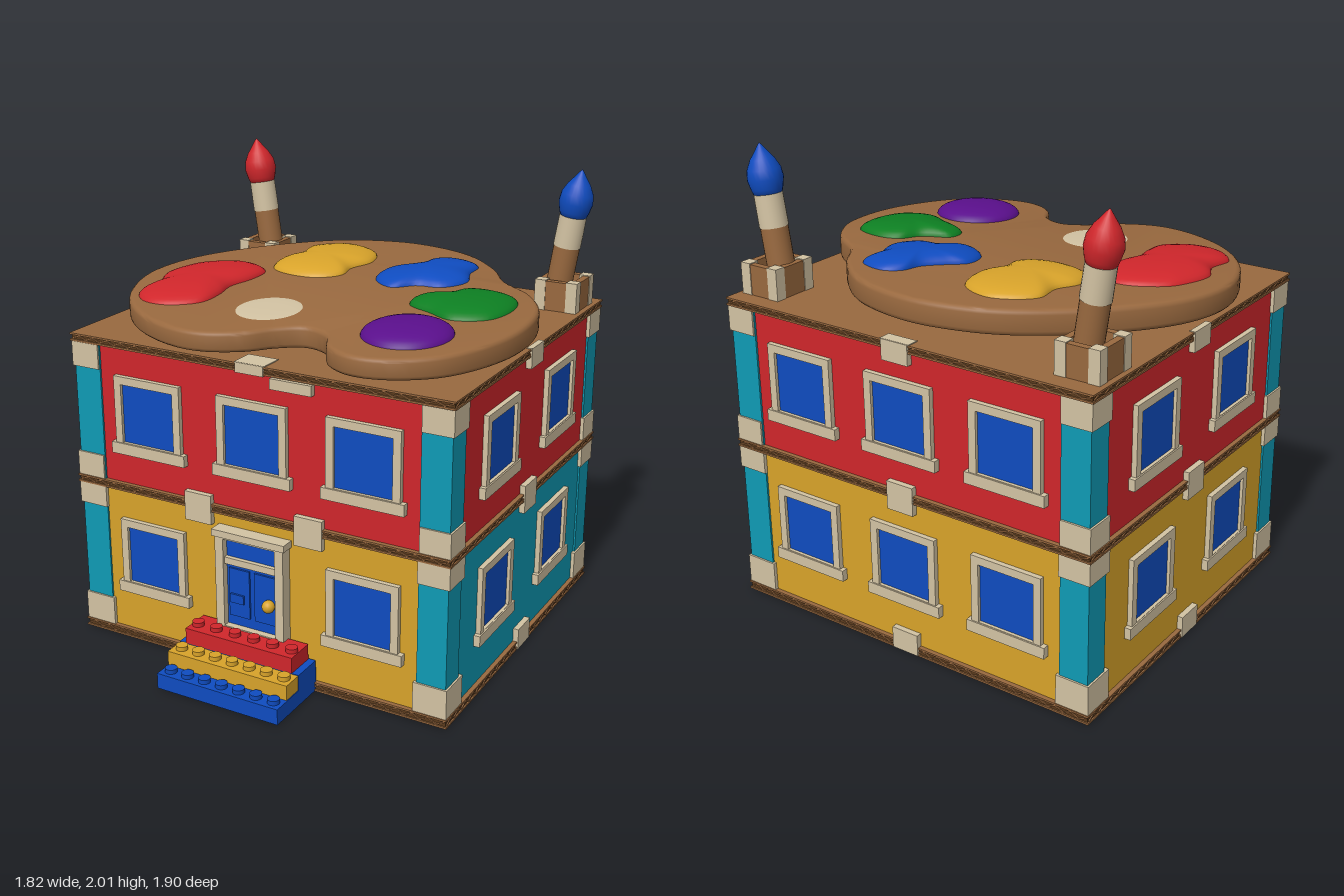
import * as THREE from 'three';
import { toCreasedNormals } from 'three/addons/utils/BufferGeometryUtils.js';

const paint = (name, color) => { const m = new THREE.MeshStandardMaterial({ color }); m.name = name; return m; };
const RED = paint('red', 0xd0262b), BLUE = paint('blue', 0x0f4cc0), YELLOW = paint('yellow', 0xd8a32a),
  TEAL = paint('teal', 0x0f9bb5), CREAM = paint('cream', 0xd3c3a3), CARD = paint('cardboard', 0x99693f),
  DARK = paint('dark cardboard', 0x5a3a1c), GREEN = paint('green', 0x0d7f22), PURPLE = paint('purple', 0x5a0f8c),
  SLATE = paint('grey green', 0x6a8f86);

// House footprint
const HX = 0.895, HZ = 0.798, CZ = -0.148, INSET = 0.02;

function add(parent, name, geo, mat, x = 0, y = 0, z = 0) {
  const m = new THREE.Mesh(geo, mat);
  m.name = name;
  m.position.set(x, y, z);
  parent.add(m);
  return m;
}
const box = (parent, name, mat, w, h, d, x, y, z) => add(parent, name, new THREE.BoxGeometry(w, h, d), mat, x, y, z);
function group(parent, name, x = 0, y = 0, z = 0) {
  const g = new THREE.Group();
  g.name = name;
  g.position.set(x, y, z);
  parent.add(g);
  return g;
}

// Rectangular ring, extruded along +z
function ring(w, h, iw, ih, depth) {
  const rect = (s, a, b) => s.moveTo(-a / 2, -b / 2).lineTo(a / 2, -b / 2).lineTo(a / 2, b / 2).lineTo(-a / 2, b / 2).closePath();
  const s = rect(new THREE.Shape(), w, h);
  s.holes.push(rect(new THREE.Path(), iw, ih));
  return new THREE.ExtrudeGeometry(s, { depth, bevelEnabled: false });
}

// Group on one side of the house whose z = 0 lies on the wall and +z points outward
function sideGroup(root, name, k) {
  const g = group(root, name, [0, HX - INSET, 0, INSET - HX][k], 0, CZ + [HZ - INSET, 0, INSET - HZ, 0][k]);
  g.rotation.y = k * Math.PI / 2;
  return g;
}

function windowUnit(parent, x, y) {
  const g = group(parent, 'window', x, y, 0);
  add(g, 'windowFrame', ring(0.33, 0.33, 0.26, 0.26, 0.022), CREAM);
  box(g, 'windowPane', BLUE, 0.27, 0.27, 0.008, 0, 0, 0.004);
  box(g, 'windowSill', CREAM, 0.37, 0.05, 0.03, 0, -0.157, 0.013);
}

// Zigzag flutes seen along the edge of a cardboard sheet
function flutes(length, h) {
  const n = Math.round(length / 0.036), top = [], low = [];
  for (let i = 0; i <= n; i++) {
    const x = (i / n - 0.5) * length, y = (i % 2 ? 0.5 : -0.5) * (h - 0.006);
    top.push(new THREE.Vector2(x, y + 0.003));
    low.unshift(new THREE.Vector2(x, y - 0.003));
  }
  return new THREE.ExtrudeGeometry(new THREE.Shape([...top, ...low]), { depth: 0.005, bevelEnabled: false });
}

function slab(root, sides, y0, h) {
  const skin = 0.008, y = y0 + h / 2;
  box(root, 'slabCore', DARK, 2 * HX - 0.012, h - 0.004, 2 * HZ - 0.012, 0, y, CZ);
  for (const s of [-1, 1]) box(root, 'slabSkin', CARD, 2 * HX, skin, 2 * HZ, 0, y + s * (h - skin) / 2, CZ);
  sides.forEach((g, k) => add(g, 'slabFlutes', flutes(k % 2 ? 1.57 : 1.77, h - 2 * skin), CARD, 0, y, INSET - 0.006));
}

const closed = (pts, n) => new THREE.CatmullRomCurve3(pts.map(([x, z]) => new THREE.Vector3(x, 0, z)), true).getPoints(n).slice(0, n);
const topY = z => 1.485 + (0.66 - z) * 0.045;      // upper surface of the tilted palette
const bottomY = z => 1.40 + 0.05 * ((0.66 - z) / 1.55) ** 2;

// Domed puddle of paint lofted from shrinking outlines
function puddle(pts, height, n = 64, rows = 8) {
  const edge = closed(pts, n), pos = [], idx = [];
  const c = edge.reduce((a, p) => a.add(p), new THREE.Vector3()).divideScalar(n);
  for (let k = 0; k <= rows; k++) {
    const a = k / rows * Math.PI / 2, s = Math.cos(a) ** 0.8;
    for (const p of edge) {
      const x = c.x + (p.x - c.x) * s, z = c.z + (p.z - c.z) * s;
      pos.push(x, topY(z) - 0.004 + height * Math.sin(a), z);
    }
  }
  for (let k = 0; k < rows; k++) for (let i = 0; i < n; i++) {
    const j = (i + 1) % n, a = k * n + i, b = k * n + j;
    idx.push(b, a, a + n, b, a + n, b + n);
  }
  const g = new THREE.BufferGeometry();
  g.setAttribute('position', new THREE.Float32BufferAttribute(pos, 3));
  g.setIndex(idx);
  g.computeVertexNormals();
  return g;
}
const oval = (x, z, rx, rz) => Array.from({ length: 12 }, (_, i) => [x + rx * Math.cos(i * Math.PI / 6), z + rz * Math.sin(i * Math.PI / 6)]);

function palette(root) {
  const g = group(root, 'palette');
  const outline = closed([[0, -.89], [.28, -.82], [.49, -.65], [.6, -.5], [.76, -.38], [.87, -.22], [.91, 0], [.88, .23],
    [.76, .48], [.58, .61], [.43, .63], [.31, .57], [.23, .45], [.12, .41], [.02, .47], [-.07, .57], [-.22, .65],
    [-.37, .65], [-.6, .55], [-.8, .35], [-.91, .05], [-.87, -.23], [-.68, -.53], [-.42, -.77], [-.22, -.86]], 140);
  const geo = new THREE.ExtrudeGeometry(new THREE.Shape(outline.map(p => new THREE.Vector2(p.x, -p.z))),
    { depth: 0.06, bevelSize: 0.02, bevelOffset: -0.02, bevelThickness: 0.02, bevelSegments: 3 });
  geo.rotateX(-Math.PI / 2);
  const p = geo.attributes.position;
  for (let i = 0; i < p.count; i++) {
    const z = p.getZ(i);
    p.setY(i, THREE.MathUtils.lerp(bottomY(z), topY(z), (p.getY(i) + 0.02) / 0.1));
  }
  add(g, 'paletteBoard', toCreasedNormals(geo, 0.7), CARD);
  add(g, 'thumbSpot', puddle(oval(-.135, .275, .15, .165), 0.009), CREAM);
  add(g, 'purplePaint', puddle(oval(.525, .31, .187, .192), 0.055), PURPLE);
  add(g, 'yellowPaint', puddle([[-.27, -.7], [-.11, -.64], [-.06, -.5], [-.1, -.38], [-.09, -.27], [-.17, -.19], [-.31, -.18],
    [-.42, -.23], [-.45, -.34], [-.41, -.45], [-.42, -.59]], 0.052), YELLOW);
  add(g, 'bluePaint', puddle([[.28, -.68], [.41, -.64], [.42, -.53], [.46, -.4], [.39, -.29], [.28, -.27], [.19, -.2],
    [.08, -.27], [.06, -.38], [.12, -.45], [.19, -.54], [.21, -.63]], 0.052), BLUE);
  add(g, 'greenPaint', puddle([[.61, -.3], [.75, -.26], [.79, -.14], [.75, .02], [.61, .09], [.49, .04], [.37, -.02],
    [.36, -.11], [.47, -.18], [.52, -.27]], 0.052), GREEN);
  add(g, 'redPaint', puddle([[-.57, -.24], [-.43, -.18], [-.42, -.05], [-.45, .08], [-.43, .2], [-.44, .33], [-.55, .42],
    [-.67, .42], [-.76, .33], [-.75, .2], [-.8, .08], [-.78, -.05], [-.73, -.15]], 0.055), RED);
}

// Chimney: open cardboard box with taped corners, holding a leaning brush
function chimney(root, s, mat) {
  const g = group(root, 'brushChimney', s * 0.775, 1.38, -0.76);
  add(g, 'chimneyBox', ring(0.19, 0.21, 0.13, 0.15, 0.137).rotateX(-Math.PI / 2), CARD);
  for (const x of [-1, 1]) for (const z of [-1, 1])
    box(g, 'chimneyTape', CREAM, 0.05, 0.141, 0.05, x * 0.073, 0.0705, z * 0.083);
  const b = group(g, 'paintBrush', 0, 0.02, 0.005);
  b.rotation.z = -s * 0.15;
  b.position.x = -s * 0.035;
  const tube = (name, r0, r1, y0, y1, m) => add(b, name, new THREE.CylinderGeometry(r1, r0, y1 - y0, 24), m, 0, (y0 + y1) / 2, 0);
  tube('brushHandle', 0.058, 0.058, 0, 0.275, CARD);
  tube('brushFerrule', 0.061, 0.06, 0.265, 0.405, CREAM);
  const tip = [[0, .385], [.056, .395], [.066, .425], [.075, .465], [.07, .505], [.05, .545], [.024, .58], [.008, .603], [0, .612]];
  add(b, 'brushBristles', new THREE.LatheGeometry(tip.map(([r, y]) => new THREE.Vector2(r, y)), 24), mat);
}

function door(front) {
  const g = group(front, 'door');
  add(g, 'doorFrame', ring(0.33, 0.46, 0.25, 0.4, 0.055), CREAM, 0, 0.415, 0);
  box(g, 'doorLintel', CREAM, 0.35, 0.03, 0.065, 0, 0.64, 0.032);
  box(g, 'transomBar', CREAM, 0.26, 0.03, 0.045, 0, 0.515, 0.022);
  box(g, 'doorLeaf', BLUE, 0.26, 0.41, 0.025, 0, 0.41, 0.012);
  for (const x of [-0.062, 0.062]) box(g, 'doorPanel', BLUE, 0.1, 0.22, 0.01, x, 0.37, 0.028);
  box(g, 'mailSlot', BLUE, 0.065, 0.04, 0.012, -0.07, 0.345, 0.036);
  add(g, 'doorKnob', new THREE.SphereGeometry(0.028, 16, 12), YELLOW, 0.09, 0.355, 0.05);
}

// Toy-brick steps
function steps(root) {
  const g = group(root, 'steps');
  box(g, 'bottomStep', BLUE, 0.585, 0.07, 0.31, 0, 0.035, 0.795);
  box(g, 'stepFiller', BLUE, 0.585, 0.07, 0.14, 0, 0.105, 0.71);
  box(g, 'middleStep', YELLOW, 0.58, 0.066, 0.095, 0, 0.104, 0.825);
  box(g, 'topStep', RED, 0.52, 0.07, 0.135, 0, 0.175, 0.713);
  const stud = new THREE.CylinderGeometry(0.026, 0.026, 0.022, 16);
  for (const [mat, y, z, n, w] of [[BLUE, 0.078, 0.908, 7, 0.5], [YELLOW, 0.145, 0.825, 7, 0.5], [RED, 0.218, 0.728, 6, 0.46]])
    for (let i = 0; i < n; i++) add(g, 'stepStud', stud, mat, (i / (n - 1) - 0.5) * w, y, z);
}

export function createModel() {
  const root = new THREE.Group();
  root.name = 'craftHouse';
  const sides = ['frontSide', 'leftSide', 'backSide', 'rightSide'].map((n, k) => sideGroup(root, n, k));

  // Storeys, with a colour for each wall
  const W = 2 * (HX - INSET), D = 2 * (HZ - INSET);
  box(root, 'lowerWalls', [TEAL, YELLOW, CARD, CARD, YELLOW, YELLOW], W, 0.68, D, 0, 0.375, CZ);
  box(root, 'upperWalls', RED, W, 0.63, D, 0, 1.045, CZ);
  for (const [y, h] of [[0, 0.04], [0.707, 0.035], [1.35, 0.035]]) slab(root, sides, y, h);
  box(root, 'underside', SLATE, W - 0.09, 0.004, D - 0.09, 0, 0.0005, CZ);

  // Corner posts and the tape around them
  for (const x of [-1, 1]) for (const z of [-1, 1]) {
    const at = (name, mat, w, d, out, y0, y1) => box(root, name, mat, w, y1 - y0, d,
      x * (HX - out - w / 2), (y0 + y1) / 2, CZ + z * (HZ - out - d / 2));
    at('lowerPost', TEAL, 0.13, 0.12, 0.012, 0.04, 0.707);
    at('upperPost', TEAL, 0.13, 0.12, 0.012, 0.742, 1.35);
    for (const [y0, y1, w] of [[0.04, 0.17, 0.15], [0.61, 0.705, 0.14], [0.743, 0.85, 0.135], [1.24, 1.348, 0.135]])
      at('cornerTape', CREAM, w, w, 0.004, y0, y1);
  }

  // Windows and the tape over the sheet edges
  sides.forEach((g, k) => {
    const xs = k % 2 ? [-0.32, 0.32] : [-0.51, 0, 0.51];
    for (const x of xs) {
      windowUnit(g, x, 1.065);
      if (k || x) windowUnit(g, x, 0.41);
    }
    const tape = (x, y0, y1, w = 0.13) => box(g, 'edgeTape', CREAM, w, y1 - y0, 0.026, x, (y0 + y1) / 2, 0.012);
    if (k === 0) {
      for (const x of [-0.265, 0.265]) tape(x, 0.65, 0.78);
      tape(0, 1.345, 1.388);
      tape(0.19, 1.3, 1.345, 0.19);
    } else for (const [y0, y1] of [[0.003, 0.1], [0.655, 0.78], [1.3, 1.388]]) tape(0, y0, y1);
  });
  box(root, 'roofTape', CREAM, 0.14, 0.004, 0.11, 0, 1.387, 0.597);
  box(root, 'roofTape', CREAM, 0.14, 0.004, 0.055, 0, 1.387, -0.92);

  door(sides[0]);
  steps(root);
  palette(root);
  chimney(root, -1, RED);
  chimney(root, 1, BLUE);
  return root;
}
